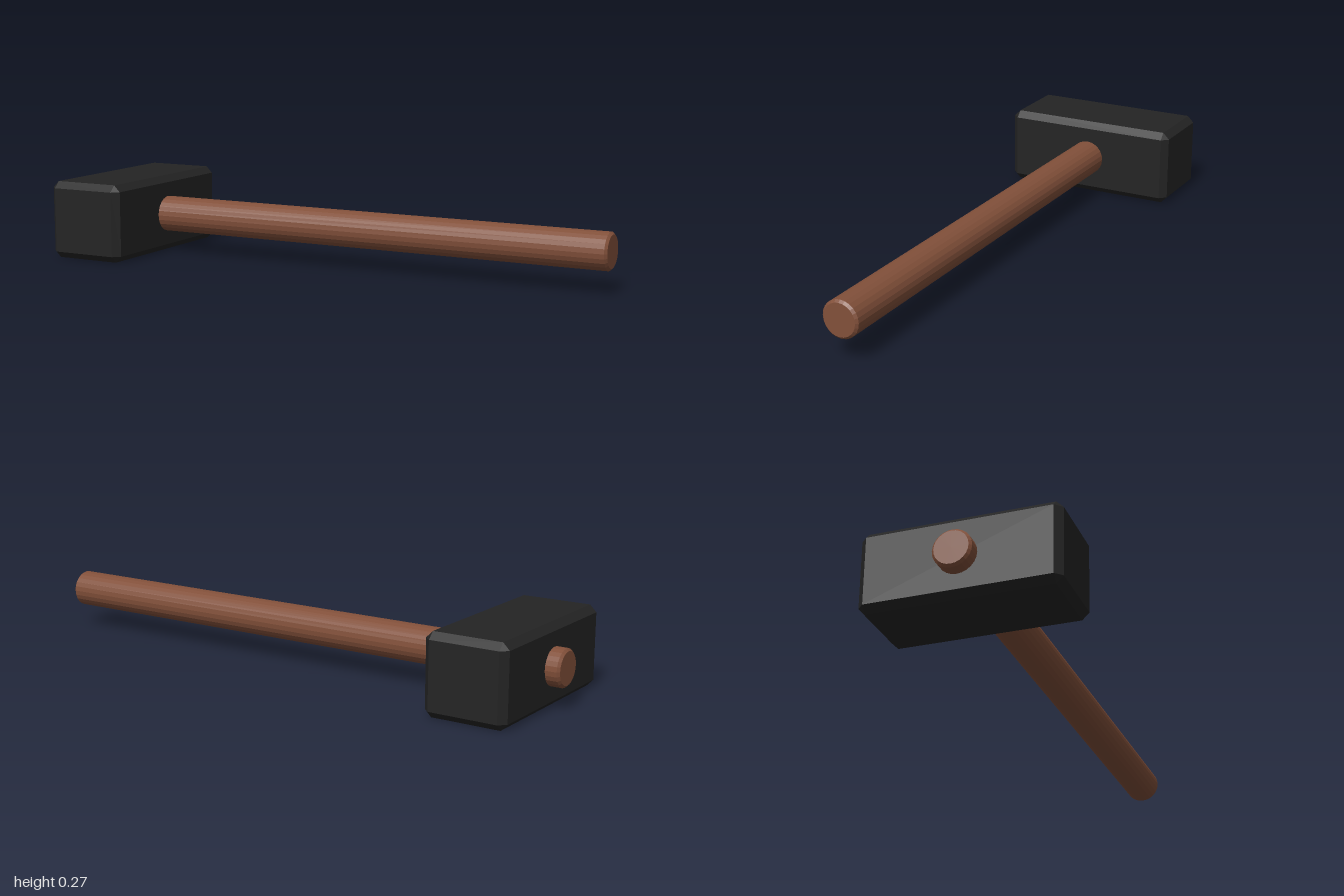
import * as THREE from 'three';
import { ConvexGeometry } from 'three/addons/geometries/ConvexGeometry.js';

// Box with every edge cut at 45 degrees: the hull of its three inset face pairs
function chamferedBox(w, h, d, c) {
  const x = w / 2, y = h / 2, z = d / 2;
  const points = [];
  for (const sx of [-1, 1]) for (const sy of [-1, 1]) for (const sz of [-1, 1]) {
    points.push(
      new THREE.Vector3(sx * x, sy * (y - c), sz * (z - c)),
      new THREE.Vector3(sx * (x - c), sy * y, sz * (z - c)),
      new THREE.Vector3(sx * (x - c), sy * (y - c), sz * z)
    );
  }
  return new ConvexGeometry(points);
}

export function createModel() {
  const iron = new THREE.MeshStandardMaterial({ color: 0x242424 });
  iron.name = 'blackIron';
  const wood = new THREE.MeshStandardMaterial({ color: 0x82503a });
  wood.name = 'brownWood';
  wood.flatShading = true;

  const model = new THREE.Group();
  model.name = 'sledgehammer';
  const midY = 0.136;

  // Heavy head lying across the handle
  const head = new THREE.Mesh(chamferedBox(0.284, 0.272, 0.64, 0.023), iron);
  head.name = 'head';
  head.position.set(-0.81, midY, 0);
  model.add(head);

  // Round handle with chamfered ends, passing through the head
  const radius = 0.063, cut = 0.008;
  const profile = [
    [0, -1], [radius - cut, -1], [radius, -1 + cut],
    [radius, 1 - cut], [radius - cut, 1], [0, 1],
  ].map(([r, y]) => new THREE.Vector2(r, y));
  const handle = new THREE.Mesh(new THREE.LatheGeometry(profile, 24), wood);
  handle.name = 'handle';
  handle.rotation.z = -Math.PI / 2;
  handle.position.y = midY;
  model.add(handle);

  return model;
}
